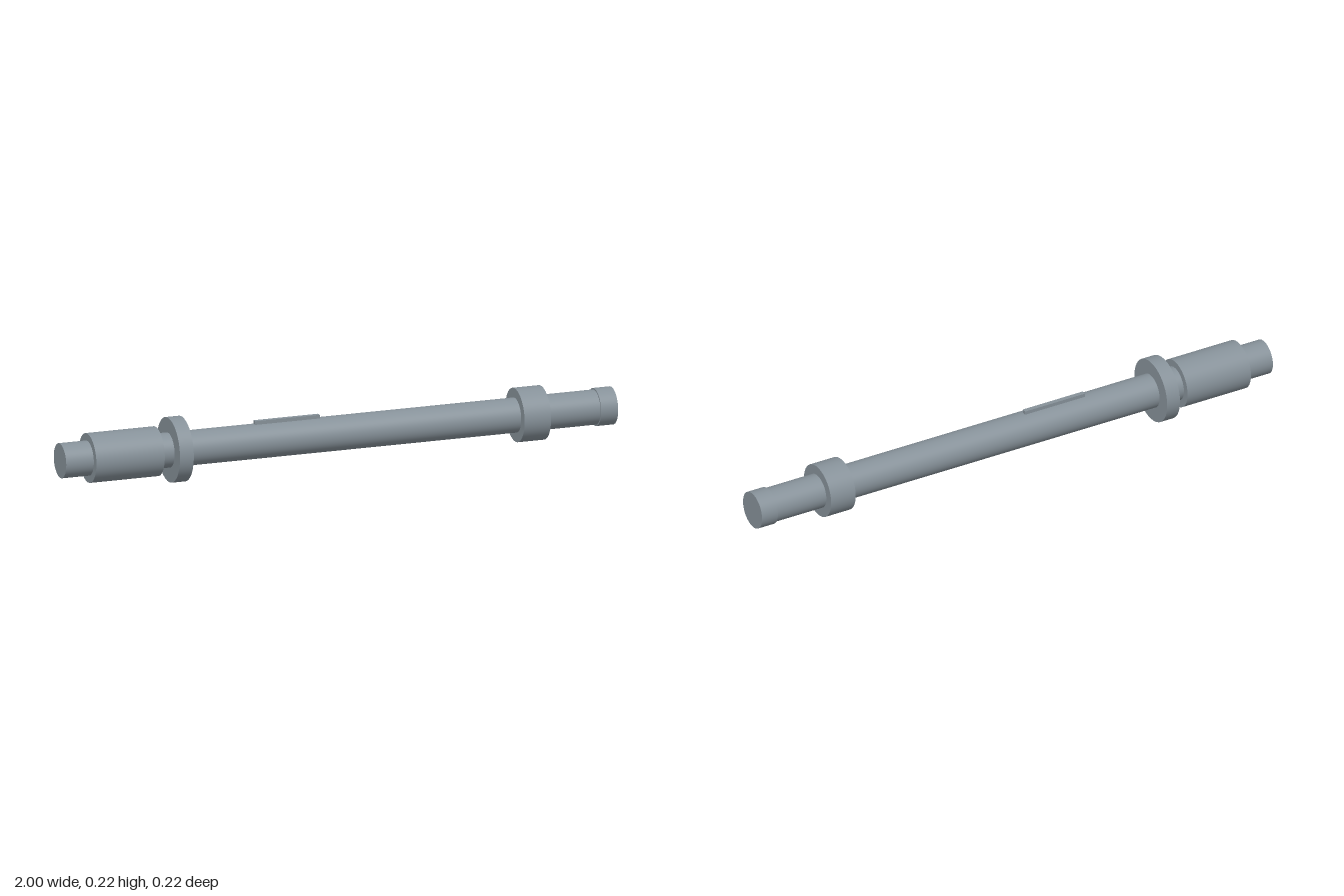
import * as THREE from 'three';

export function createModel() {
  const group = new THREE.Group();
  group.name = 'driveShaft';
  const steel = new THREE.MeshStandardMaterial({ color: 0x87929a });
  steel.name = 'greySteel';
  const axisY = 0.112;

  // Solid round section along x, from x0 to x1
  function section(name, x0, x1, radius) {
    const geometry = new THREE.CylinderGeometry(radius, radius, x1 - x0, 64);
    geometry.rotateZ(-Math.PI / 2);
    const mesh = new THREE.Mesh(geometry, steel);
    mesh.name = name;
    mesh.position.set((x0 + x1) / 2, axisY, 0);
    group.add(mesh);
  }

  section('shaft', -1, 0.99, 0.06);
  section('sleeve', -0.9, -0.652, 0.085);
  section('flange', -0.607, -0.557, 0.112);
  section('collar', 0.65, 0.746, 0.093);
  section('endCap', 0.938, 1, 0.065);

  // Narrow key seated in the top of the shaft
  const key = new THREE.Mesh(new THREE.BoxGeometry(0.234, 0.03, 0.016), steel);
  key.name = 'key';
  key.position.set(-0.178, axisY + 0.057, 0);
  group.add(key);

  return group;
}
